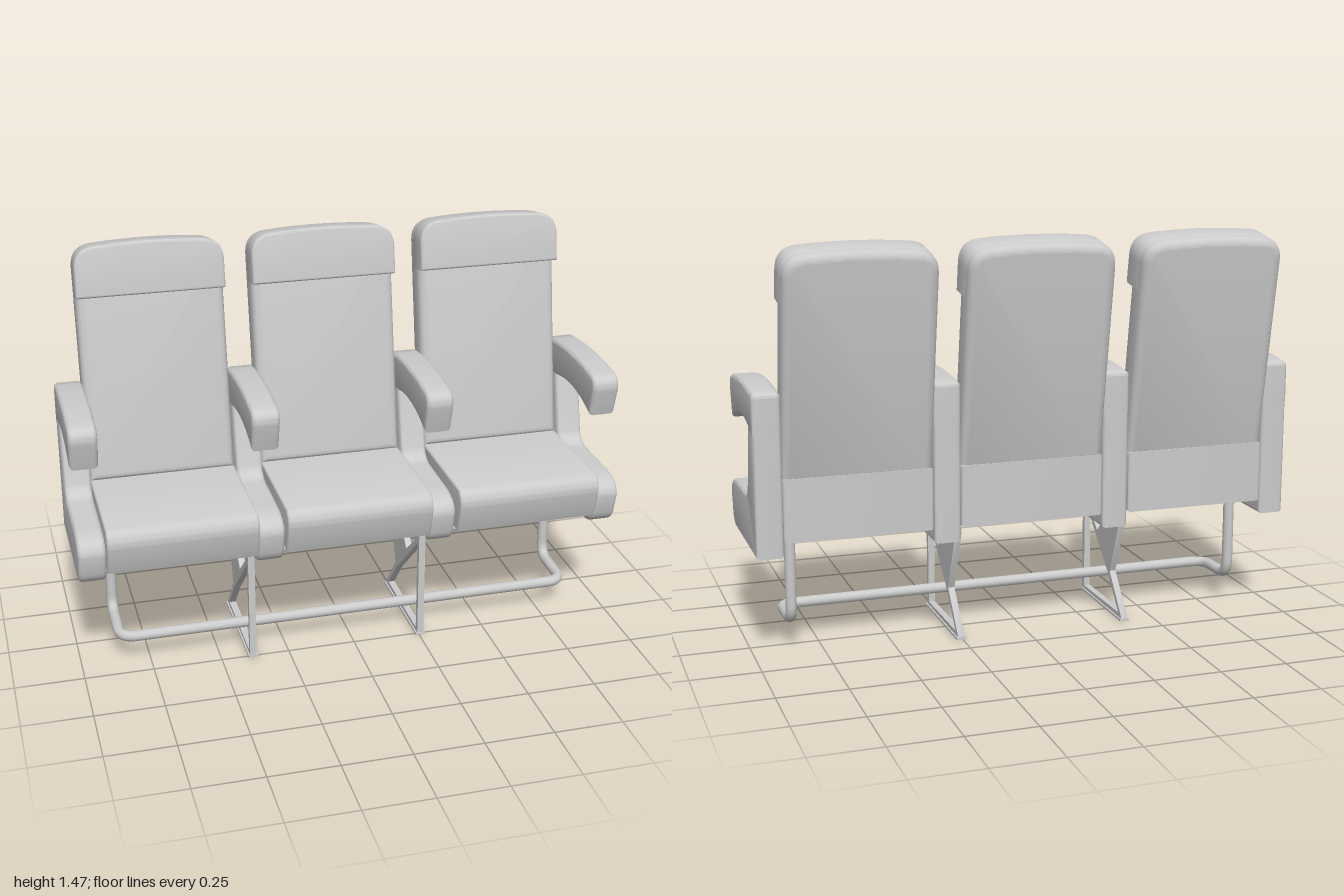
import * as THREE from 'three';
import { toCreasedNormals } from 'three/addons/utils/BufferGeometryUtils.js';

const material = new THREE.MeshStandardMaterial({ color: 0xcccccc });
const SEAT_W = 0.535;
const FRAME_W = 0.1;

function add(parent, name, geometry, x = 0, y = 0, z = 0) {
  const mesh = new THREE.Mesh(geometry, material);
  mesh.name = name;
  mesh.position.set(x, y, z);
  parent.add(mesh);
  return mesh;
}

// Extrude a shape to a total depth, with rounded edges kept inside the outline
function slab(shape, depth, bevel) {
  const geo = new THREE.ExtrudeGeometry(shape, {
    depth: depth - 2 * bevel, bevelEnabled: bevel > 0, bevelThickness: bevel,
    bevelSize: bevel, bevelOffset: -bevel, bevelSegments: 3, curveSegments: 10,
  });
  geo.translate(0, 0, bevel);
  return toCreasedNormals(geo, 0.7);
}

// Side profile drawn in (z, y), extruded across x and centred
function sideSlab(shape, width, bevel) {
  return slab(shape, width, bevel).translate(0, 0, -width / 2).rotateY(-Math.PI / 2);
}

const polygon = (pts) => new THREE.Shape(pts.map(([a, b]) => new THREE.Vector2(a, b)));

// Tube along straight runs with rounded corners
function bentTube(points, radius, bend) {
  const pts = points.map((p) => new THREE.Vector3(...p));
  const path = new THREE.CurvePath();
  let from = pts[0];
  for (let i = 1; i < pts.length - 1; i++) {
    const a = pts[i].clone().add(pts[i - 1].clone().sub(pts[i]).setLength(bend));
    const b = pts[i].clone().add(pts[i + 1].clone().sub(pts[i]).setLength(bend));
    path.add(new THREE.LineCurve3(from, a));
    path.add(new THREE.QuadraticBezierCurve3(a, pts[i], b));
    from = b;
  }
  path.add(new THREE.LineCurve3(from, pts[pts.length - 1]));
  return new THREE.TubeGeometry(path, 240, radius, 12);
}

// Upright panel with rounded, slightly crowned top
function crownedPanel(width, bottom, top) {
  const w = width / 2;
  const s = new THREE.Shape();
  s.moveTo(-w, bottom);
  s.lineTo(w, bottom);
  s.lineTo(w, top - 0.09);
  s.bezierCurveTo(w, top - 0.035, w - 0.03, top - 0.012, w - 0.075, top - 0.008);
  s.quadraticCurveTo(0, top + 0.008, -w + 0.075, top - 0.008);
  s.bezierCurveTo(-w + 0.03, top - 0.012, -w, top - 0.035, -w, top - 0.09);
  s.closePath();
  return s;
}

function cushionShape() {
  const s = new THREE.Shape();
  s.moveTo(-0.2, 0.445);
  s.lineTo(0.318, 0.445);
  s.quadraticCurveTo(0.34, 0.5, 0.35, 0.56);
  s.quadraticCurveTo(0.35, 0.6, 0.318, 0.615);
  s.lineTo(-0.2, 0.615);
  s.closePath();
  return s;
}

function frameShape() {
  const s = new THREE.Shape();
  s.moveTo(-0.212, 0.388);
  s.lineTo(0.235, 0.388);
  s.quadraticCurveTo(0.275, 0.392, 0.288, 0.435);
  s.lineTo(0.305, 0.505);
  s.quadraticCurveTo(0.308, 0.568, 0.2, 0.574);
  s.lineTo(0.01, 0.577);
  s.quadraticCurveTo(-0.05, 0.577, -0.065, 0.62);
  s.lineTo(-0.125, 0.86);
  s.lineTo(-0.212, 0.86);
  s.closePath();
  return s;
}

function armrestShape() {
  const s = new THREE.Shape();
  s.moveTo(-0.213, 0.808);
  s.quadraticCurveTo(0.01, 0.898, 0.218, 0.804);
  s.lineTo(0.247, 0.905);
  s.quadraticCurveTo(0.255, 0.95, 0.215, 0.962);
  s.quadraticCurveTo(0.02, 0.995, -0.2, 0.965);
  s.quadraticCurveTo(-0.213, 0.963, -0.213, 0.95);
  s.closePath();
  return s;
}

function createSeat(x) {
  const seat = new THREE.Group();
  seat.name = 'seat';
  seat.position.x = x;
  add(seat, 'seatCushion', sideSlab(cushionShape(), SEAT_W, 0.01));
  const panel = polygon([[-0.213, 0.44], [-0.12, 0.44], [-0.12, 0.665], [-0.213, 0.665]]);
  add(seat, 'lowerBackPanel', sideSlab(panel, SEAT_W, 0.012));

  // Reclined back, with a thicker pad at head height
  const back = new THREE.Group();
  back.name = 'back';
  back.position.set(0, 0.67, -0.21);
  back.rotation.x = -0.173;
  add(back, 'backrest', slab(crownedPanel(SEAT_W - 0.002, -0.08, 0.786), 0.117, 0.028));
  add(back, 'headrest', slab(crownedPanel(SEAT_W, 0.597, 0.787), 0.107, 0.01), 0, 0, 0.046);
  seat.add(back);
  return seat;
}

function createSideFrame(x) {
  const frame = new THREE.Group();
  frame.name = 'sideFrame';
  frame.position.x = x;
  add(frame, 'framePanel', sideSlab(frameShape(), FRAME_W - 0.002, 0.014));
  add(frame, 'armrest', sideSlab(armrestShape(), FRAME_W, 0.014));
  return frame;
}

// Flat braced leg: front post, floor rail, diagonal and gusset
function createCentreLeg(x) {
  const leg = new THREE.Group();
  leg.name = 'centreLeg';
  leg.position.x = x;
  const outline = polygon([[0.26, 0], [0.26, 0.42], [0.21, 0.42], [0.21, 0.375], [0.105, 0.285],
    [-0.01, 0.39], [-0.01, 0.45], [-0.125, 0.45], [-0.125, 0.39], [-0.03, 0.16], [-0.152, 0.015], [-0.152, 0]]);
  outline.holes.push(new THREE.Path([[0.24, 0.02], [0.24, 0.375], [-0.015, 0.145], [-0.12, 0.024]]
    .map(([a, b]) => new THREE.Vector2(a, b))));
  add(leg, 'legBrace', sideSlab(outline, 0.024, 0));
  add(leg, 'footRail', new THREE.BoxGeometry(0.036, 0.008, 0.42), 0, 0.004, 0.053);
  return leg;
}

export function createModel() {
  const model = new THREE.Group();
  model.name = 'tripleSeat';

  for (const x of [-0.635, 0, 0.635]) model.add(createSeat(x));
  for (const x of [-0.95, -0.317, 0.317, 0.95]) model.add(createSideFrame(x));
  for (const x of [-0.385, 0.255]) model.add(createCentreLeg(x));

  // Bent tube forming the end legs and low front bar
  add(model, 'lowerTube', bentTube([
    [-0.855, 0.46, -0.05], [-0.855, 0.105, -0.05], [-0.855, 0.098, 0.165],
    [0.855, 0.098, 0.165], [0.855, 0.105, -0.05], [0.855, 0.46, -0.05]], 0.02, 0.06));

  // Bar joining the frames under the cushions
  const bar = new THREE.CylinderGeometry(0.018, 0.018, 1.84, 14).rotateZ(Math.PI / 2);
  add(model, 'seatBar', bar, 0, 0.418, 0.22);
  return model;
}
